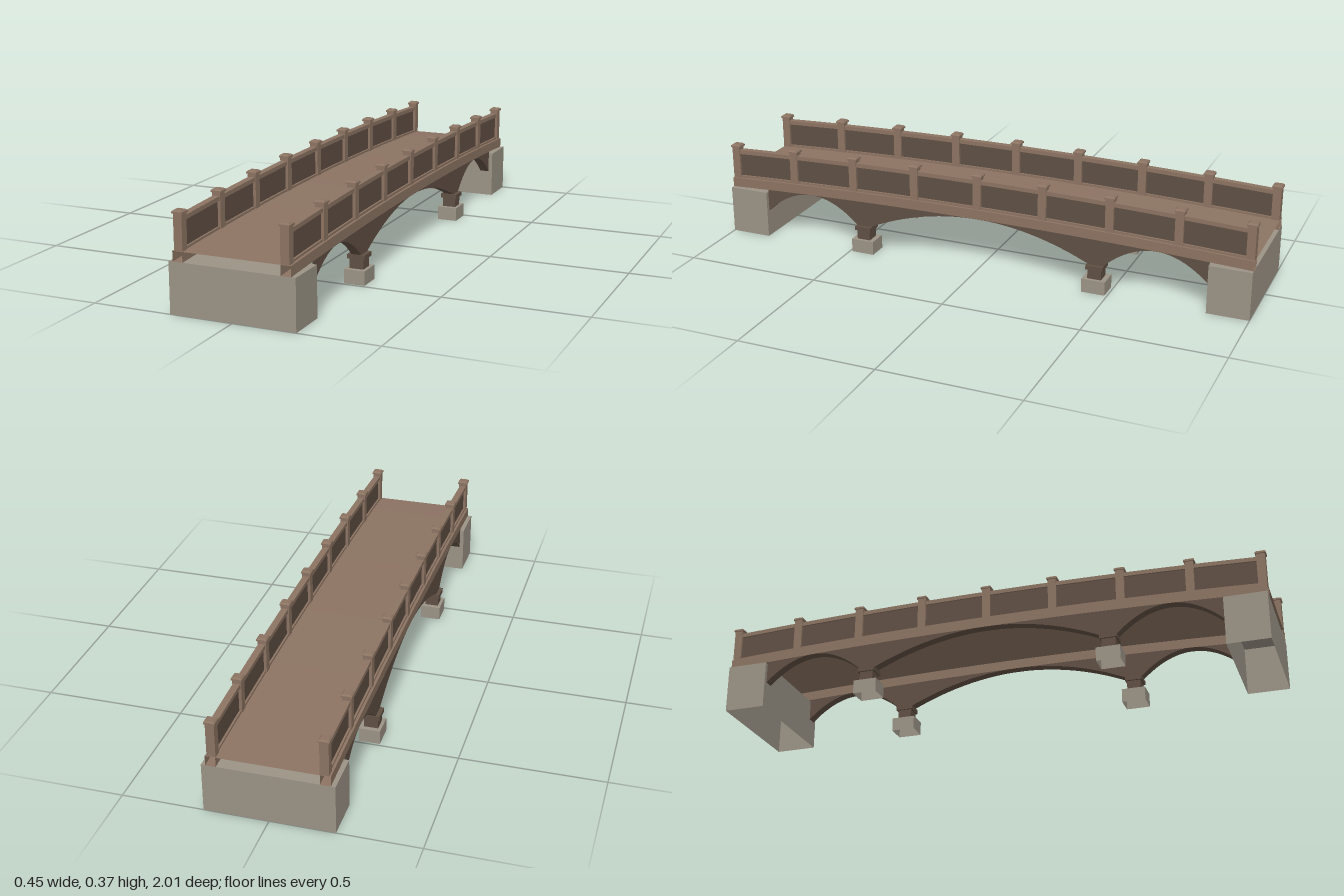
import * as THREE from 'three';

const timber = new THREE.MeshStandardMaterial({ color: 0x8b7362 });
timber.name = 'timber';
timber.side = THREE.DoubleSide;
const darkTimber = new THREE.MeshStandardMaterial({ color: 0x5f4f43 });
darkTimber.name = 'darkTimber';
const stone = new THREE.MeshStandardMaterial({ color: 0x9a9285 });
stone.name = 'stone';
stone.side = THREE.DoubleSide;

// Gentle camber of the deck and the heights that follow it
const deckY = z => 0.21 + 0.025 * (1 - z * z);
const fasciaY = z => deckY(z) - 0.035;

// Underside of the three arches, with flat seats over the piers
function soffitY(z) {
  const a = Math.abs(z);
  let y = 0.1;
  if (a < 0.425) y = 0.2 - 0.1 * (a / 0.425) ** 2;
  else if (a > 0.475) y = 0.189 - 0.089 * ((a - 0.6625) / 0.1875) ** 2;
  return Math.min(y, fasciaY(z) - 0.0004);
}

// Remove chosen faces of a box (0 +x, 1 -x, 2 +y, 3 -y, 4 +z, 5 -z)
function dropFaces(geo, faces) {
  const kept = [];
  geo.groups.forEach((g, i) => {
    if (faces.includes(i)) return;
    for (let k = g.start; k < g.start + g.count; k++) kept.push(geo.index.getX(k));
  });
  geo.setIndex(kept);
  geo.clearGroups();
  return geo;
}

// Beam along z whose bottom and top follow two height rules
function beam(x0, x1, z0, z1, low, high, segments, open = []) {
  const geo = dropFaces(new THREE.BoxGeometry(1, 1, 1, 1, 1, segments), open);
  const p = geo.attributes.position;
  for (let i = 0; i < p.count; i++) {
    const z = z0 + (p.getZ(i) + 0.5) * (z1 - z0);
    p.setXYZ(i, p.getX(i) < 0 ? x0 : x1, p.getY(i) < 0 ? low(z) : high(z), z);
  }
  const flat = geo.toNonIndexed();
  flat.computeVertexNormals();
  return flat;
}

// Upright box given by its centre on plan and its bottom and top
function block(w, d, y0, y1, open = []) {
  return dropFaces(new THREE.BoxGeometry(w, y1 - y0, d), open).translate(0, (y0 + y1) / 2, 0);
}

export function createModel() {
  const bridge = new THREE.Group();
  bridge.name = 'archedFootbridge';

  function add(name, geo, material, x = 0, y = 0, z = 0) {
    const mesh = new THREE.Mesh(geo, material);
    mesh.name = name;
    mesh.position.set(x, y, z);
    bridge.add(mesh);
    return mesh;
  }

  // Thin cambered walkway
  add('deck', beam(-0.205, 0.205, -1, 1, deckY, deckY, 32, [0, 1, 3, 4, 5]), timber);

  // Hollow stone abutments at both ends
  for (const end of [-1, 1]) {
    add('abutment', block(0.44, 0.15, 0, 0.175, [3]), stone, 0, 0, end * 0.925);
  }

  const postX = 0.184, wallX = 0.1875, postGap = 0.246;
  const capBevel = new THREE.CylinderGeometry(0.013 * Math.SQRT2, 0.0187 * Math.SQRT2, 0.005, 4)
    .rotateY(Math.PI / 4).toNonIndexed();
  capBevel.computeVertexNormals();

  for (const side of [-1, 1]) {
    const name = side > 0 ? 'left' : 'right';
    const span = (centre, half) => [side * centre - half, side * centre + half];

    // Edge beam and arched spandrel wall
    add(name + 'Fascia', beam(...span(wallX, 0.0175), -1, 1, fasciaY, deckY, 32, [2, 4, 5]), timber);
    add(name + 'Spandrel', beam(...span(wallX, 0.0175), -0.85, 0.85, soffitY, fasciaY, 136, [2, 4, 5]), darkTimber);

    // Piers on hollow stone footings
    for (const end of [-1, 1]) {
      const z = end * 0.448;
      add('footing', block(0.074, 0.086, 0, 0.05, [3]), stone, side * 0.187, 0, z);
      add('pierShaft', block(0.05, 0.05, 0.047, 0.086), darkTimber, side * wallX, 0, z);
      add('pierCap', block(0.062, 0.062, 0.085, 0.1005), darkTimber, side * wallX, 0, z);
    }

    // Posts with bevelled caps
    for (let i = -4; i <= 4; i++) {
      const z = i * postGap, y = deckY(z);
      add('post', block(0.03, 0.03, 0, 0.12), timber, side * postX, y, z);
      add('postCap', block(0.0374, 0.0374, 0.12, 0.126), timber, side * postX, y, z);
      add('postCapBevel', capBevel, timber, side * postX, y + 0.1285, z);
    }

    // Rails and infill panels between neighbouring posts
    for (let i = -4; i < 4; i++) {
      const z0 = i * postGap + 0.014, z1 = (i + 1) * postGap - 0.014;
      const above = h => z => deckY(z) + h;
      add('topRail', beam(...span(postX, 0.012), z0, z1, above(0.094), above(0.109), 4), timber);
      add('bottomRail', beam(...span(postX, 0.012), z0, z1, above(0), above(0.008), 4), timber);
      add('infillPanel', beam(...span(postX, 0.005), z0, z1, above(0.007), above(0.095), 4), darkTimber);
    }
  }
  return bridge;
}
